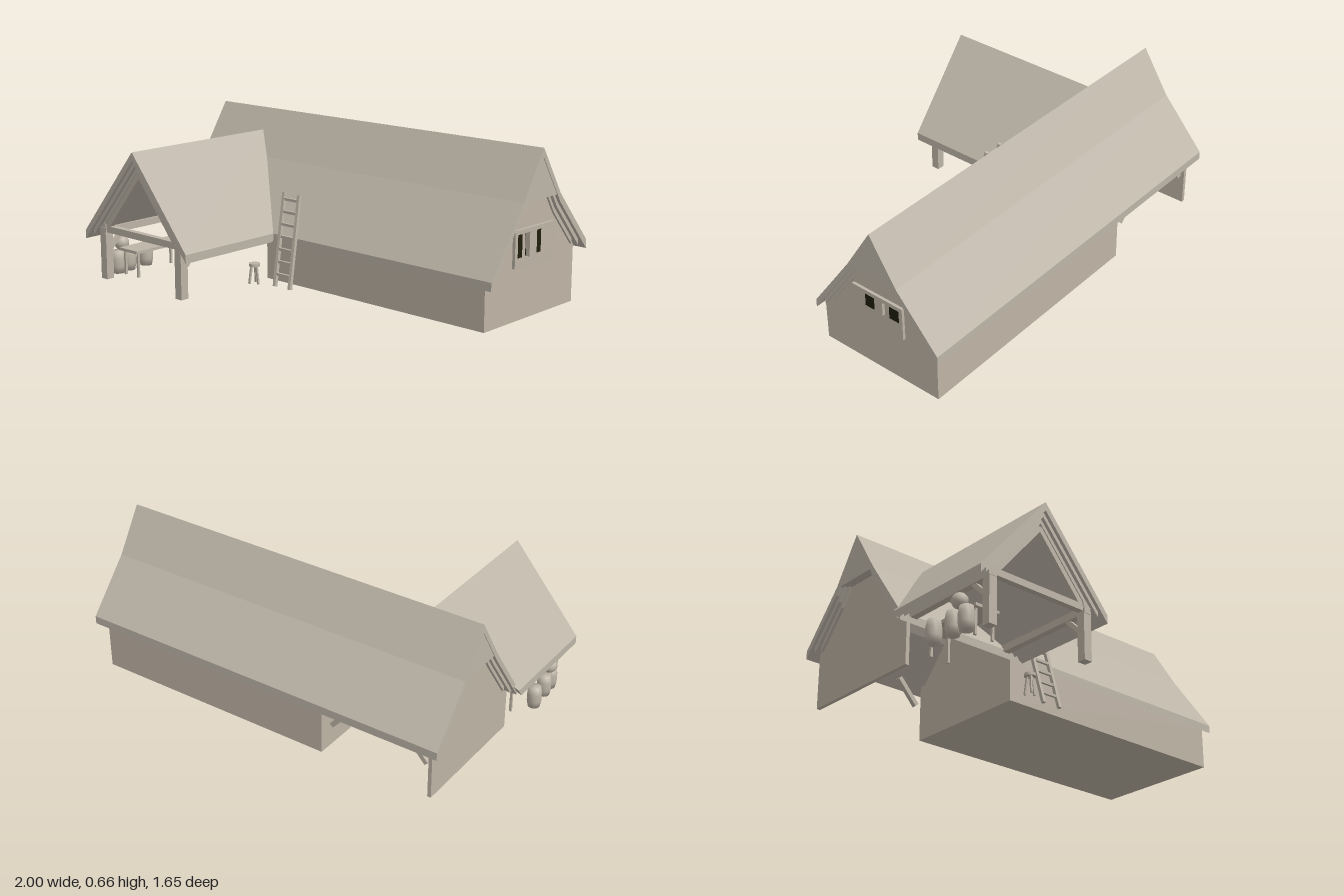
import * as THREE from 'three';

const mat = (name, color) => {
  const m = new THREE.MeshStandardMaterial({ color });
  m.name = name;
  return m;
};

export function createModel() {
  const thatch = mat('thatch', 0xbdb5a8);
  const plaster = mat('plaster', 0xbfb4a6);
  const timber = mat('timber', 0xbdb4a6);
  const glass = mat('dark glass', 0x1e1d0b);

  const model = new THREE.Group();
  model.name = 'farmhouse';
  // Local x runs along the main ridge, local z along the porch wing.
  const house = new THREE.Group();
  house.name = 'house';
  house.rotation.y = -Math.PI / 4;
  model.add(house);

  const add = (name, geo, m, parent = house) => {
    const mesh = new THREE.Mesh(geo, m);
    mesh.name = name;
    parent.add(mesh);
    return mesh;
  };
  const box = (name, m, x0, x1, y0, y1, z0, z1) =>
    add(name, new THREE.BoxGeometry(x1 - x0, y1 - y0, z1 - z0), m)
      .position.set((x0 + x1) / 2, (y0 + y1) / 2, (z0 + z1) / 2);
  const shapeOf = pts => new THREE.Shape(pts.map(p => new THREE.Vector2(...p)));
  const extrude = (shape, depth) => new THREE.ExtrudeGeometry(shape, { depth, bevelEnabled: false });
  // Extrude a [z, y] outline along local x.
  const alongX = (pts, x0, x1, holes = []) => {
    const flip = list => list.map(([z, y]) => [-z, y]);
    const shape = shapeOf(flip(pts));
    holes.forEach(h => shape.holes.push(shapeOf(flip(h))));
    return extrude(shape, x1 - x0).rotateY(Math.PI / 2).translate(x0, 0, 0);
  };
  // Square bar between two points.
  const bar = (name, a, b, w, m = timber, parent = house) => {
    const p = new THREE.Vector3(...a), q = new THREE.Vector3(...b);
    const mesh = add(name, new THREE.BoxGeometry(w, p.distanceTo(q), w), m, parent);
    mesh.position.copy(p).add(q).multiplyScalar(0.5);
    mesh.quaternion.setFromUnitVectors(new THREE.Vector3(0, 1, 0), q.sub(p).normalize());
  };
  // Closed band lying between two depths under a roof line, pulled in at the eaves.
  const band = (line, top, bottom, inset) => {
    const pts = line.map(p => [...p]);
    const pull = (end, next) => {
      const t = inset / Math.abs(next[0] - end[0]);
      end[0] += (next[0] - end[0]) * t;
      end[1] += (next[1] - end[1]) * t;
    };
    pull(pts[0], pts[1]);
    pull(pts[pts.length - 1], pts[pts.length - 2]);
    return [...pts.map(([a, y]) => [a, y - top]), ...pts.map(([a, y]) => [a, y - bottom]).reverse()];
  };
  // Each roof is three stepped layers: depth, bottom, end inset, eave inset.
  const layers = [[0, 0.035, 0, 0], [0.035, 0.058, 0.014, 0.035], [0.058, 0.08, 0.028, 0.06]];

  // Main roof
  const mainLine = [[-0.436, 0.25], [-0.247, 0.465], [-0.127, 0.655], [-0.007, 0.465], [0.182, 0.2]];
  for (const [top, bottom, end, eave] of layers)
    add('mainRoofLayer', alongX(band(mainLine, top, bottom, eave), -0.732 + end, 0.977 - end), thatch);
  const peak = [[-0.245, 0.462], [-0.127, 0.648], [-0.009, 0.462]];
  add('gablePeak', alongX(peak, 0.93, 0.974), thatch);
  add('gablePeak', alongX(peak, -0.729, -0.685), thatch);

  // Main walls: closed house, gable with window openings, far end wall
  const wall = [[-0.4, 0], [0.17, 0], [0.17, 0.172], [-0.007, 0.42], [-0.127, 0.61], [-0.247, 0.42], [-0.4, 0.245]];
  add('houseWalls', alongX(wall, -0.18, 0.9), plaster);
  const panes = [-0.182, -0.06].map(z => [[z - 0.047, 0.228], [z + 0.047, 0.228], [z + 0.047, 0.338], [z - 0.047, 0.338]]);
  add('windowGable', alongX(wall, 0.9, 0.94, panes), plaster);
  add('endWall', alongX(wall, -0.692, -0.676), plaster);

  // Windows
  for (const z of [-0.182, -0.06]) {
    box('windowPane', glass, 0.9, 0.906, 0.228, 0.338, z - 0.047, z + 0.047);
  }
  const frame = [[-0.246, 0.21], [0.004, 0.21], [0.004, 0.355], [-0.246, 0.355]];
  add('windowFrame', alongX(frame, 0.94, 0.952, panes), timber);

  // Wing roof, its inner end sloped to meet the main roof
  const wingLine = [[-0.75, 0.2], [-0.44, 0.567], [-0.132, 0.2]];
  for (const [top, bottom, end, eave] of layers) {
    const geo = extrude(shapeOf(band(wingLine, top, bottom, eave)), 0.665 - end);
    const p = geo.attributes.position;
    for (let i = 0; i < p.count; i++)
      if (p.getZ(i) < 0.001) p.setZ(i, -0.085 + (0.567 - p.getY(i) - top) * 0.68);
    geo.computeVertexNormals();
    add('wingRoofLayer', geo, thatch);
  }

  // Porch frame
  for (const [x, s] of [[-0.67, 1], [-0.21, -1]]) {
    box('porchPost', timber, x - 0.018, x + 0.018, 0, 0.24, 0.602, 0.638);
    box('porchPlate', timber, x - 0.014, x + 0.014, 0.19, 0.22, 0.15, 0.64);
    bar('porchRafter', [x, 0.2, 0.62], [-0.44, 0.475, 0.62], 0.026);
    bar('porchBrace', [x, 0.12, 0.61], [x, 0.2, 0.53], 0.018);
    bar('passageBrace', [x + 0.01 * s, 0.14, -0.38], [x + 0.1 * s, 0.24, -0.38], 0.02);
  }
  box('tieBeam', timber, -0.67, -0.21, 0.2, 0.228, 0.607, 0.633);

  // Ladder
  const ladder = new THREE.Group();
  ladder.name = 'ladder';
  house.add(ladder);
  const foot = [-0.025, 0, 0.24], head = [-0.05, 0.375, 0.155], half = 0.042;
  const at = (t, dx) => foot.map((v, i) => v + (head[i] - v) * t + (i === 0 ? dx : 0));
  for (const d of [-half, half]) bar('ladderRail', at(0, d), at(1, d), 0.014, timber, ladder);
  for (let i = 1; i <= 7; i++) bar('ladderRung', at(i / 7.5, -half), at(i / 7.5, half), 0.011, timber, ladder);

  // Stool
  const stool = new THREE.Group();
  stool.name = 'stool';
  stool.position.set(-0.16, 0, 0.265);
  house.add(stool);
  add('stoolSeat', new THREE.CylinderGeometry(0.024, 0.024, 0.012, 12), timber, stool).position.y = 0.08;
  for (let i = 0; i < 3; i++) {
    const c = Math.cos(i * 2.094), s = Math.sin(i * 2.094);
    bar('stoolLeg', [c * 0.022, 0, s * 0.022], [c * 0.012, 0.077, s * 0.012], 0.008, timber, stool);
  }

  // Table
  box('tableTop', timber, -0.675, -0.565, 0.105, 0.117, 0.26, 0.55);
  for (const x of [-0.66, -0.58])
    for (const z of [0.28, 0.53]) box('tableLeg', timber, x - 0.005, x + 0.005, 0, 0.105, z - 0.005, z + 0.005);

  // Barrels and a round sack resting on them
  const staves = [[0, 0], [0.025, 0], [0.031, 0.03], [0.031, 0.065], [0.026, 0.095], [0, 0.095]];
  const barrel = new THREE.LatheGeometry(staves.map(p => new THREE.Vector2(...p)), 14);
  for (const [x, z] of [[-0.72, 0.37], [-0.712, 0.47], [-0.705, 0.535]])
    add('barrel', barrel, timber).position.set(x, 0, z);
  add('sack', new THREE.SphereGeometry(0.032, 14, 10), timber).position.set(-0.713, 0.124, 0.507);

  return model;
}
